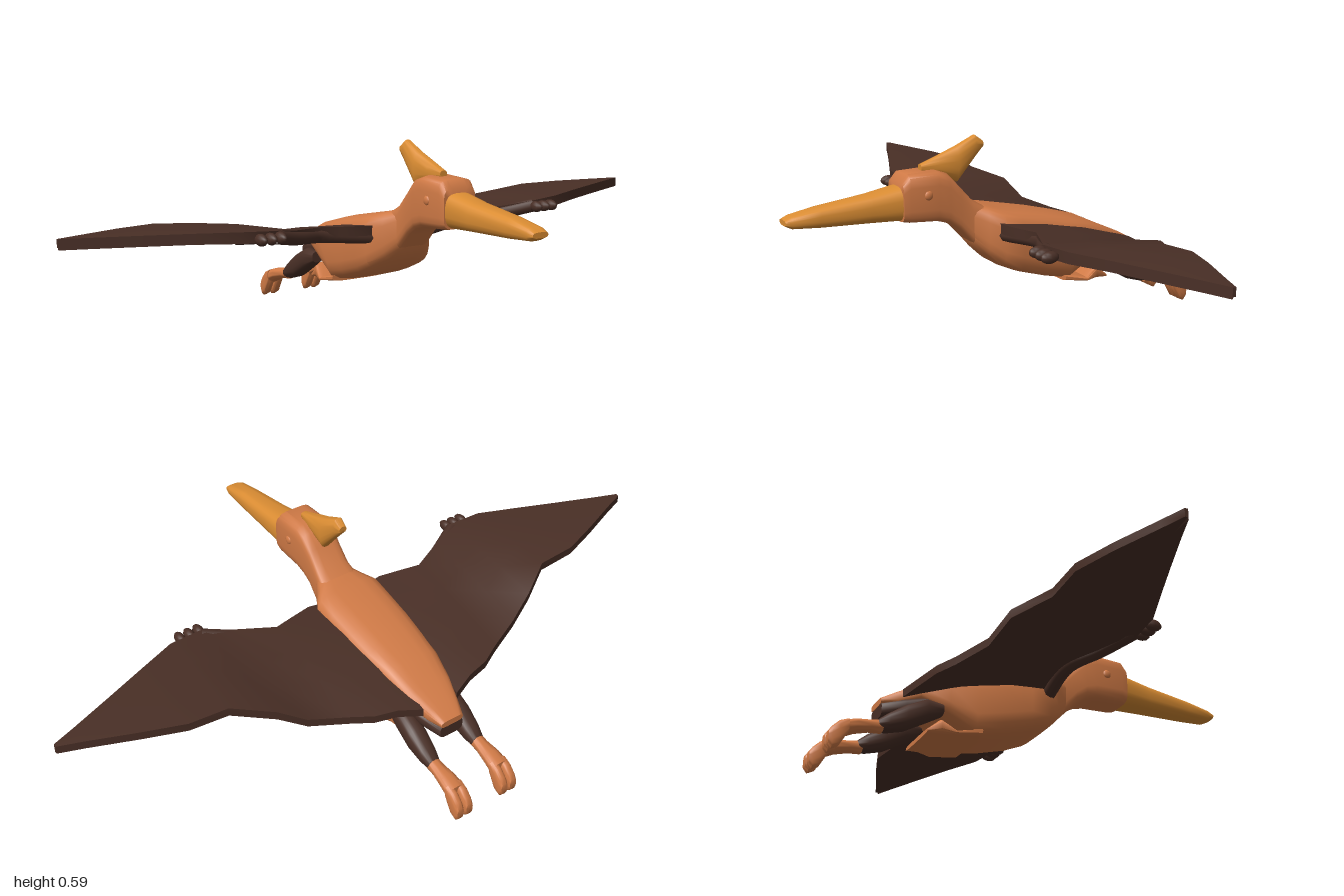
import * as THREE from 'three';
import { toCreasedNormals } from 'three/addons/utils/BufferGeometryUtils.js';

const mat = (name, color) => {
  const m = new THREE.MeshStandardMaterial({ color });
  m.name = name;
  return m;
};

// Closed skin over a row of rings (counter-clockwise seen from the far end)
function skin(rings, crease = 0.8) {
  const n = rings[0].length, pos = [], idx = [];
  rings.forEach(r => r.forEach(p => pos.push(...p)));
  for (let i = 0; i < rings.length - 1; i++) {
    for (let j = 0; j < n; j++) {
      const a = i * n + j, b = i * n + (j + 1) % n;
      idx.push(a, b, b + n, a, b + n, a + n);
    }
  }
  const last = (rings.length - 1) * n;
  [[0, true], [last, false]].forEach(([start, flip]) => {
    const ring = rings[start / n], c = pos.length / 3;
    pos.push(...[0, 1, 2].map(k => ring.reduce((s, p) => s + p[k], 0) / n));
    for (let j = 0; j < n; j++) {
      const a = start + j, b = start + (j + 1) % n;
      if (flip) idx.push(c, b, a); else idx.push(c, a, b);
    }
  });
  const g = new THREE.BufferGeometry();
  g.setAttribute('position', new THREE.Float32BufferAttribute(pos, 3));
  g.setIndex(idx);
  return toCreasedNormals(g, crease);
}

// Loft along z: sections [z, bottom, top, halfWidth]; box is the squareness
function loft(sections, box = 4, x = 0) {
  const bend = v => Math.sign(v) * Math.pow(Math.abs(v), 2 / box);
  const rings = [...sections].sort((a, b) => a[0] - b[0]).map(([z, y0, y1, w]) =>
    Array.from({ length: 20 }, (_, k) => {
      const t = (k + 0.5) / 20 * Math.PI * 2;
      return [x + w * bend(Math.cos(t)), (y0 + y1) / 2 + (y1 - y0) / 2 * bend(Math.sin(t)), z];
    }));
  return skin(rings);
}

// Wing: [x, front z, front top y, back z, back top y, thickness]
const WING = [
  [0.06, 0.02, 0.335, -0.43, 0.235, 0.03],
  [0.13, 0.03, 0.34, -0.405, 0.25, 0.03],
  [0.20, 0.015, 0.342, -0.39, 0.255, 0.03],
  [0.26, 0.0, 0.345, -0.36, 0.262, 0.03],
  [0.37, 0.05, 0.355, -0.315, 0.278, 0.03],
  [0.45, 0.09, 0.368, -0.29, 0.33, 0.032],
  [0.56, 0.08, 0.374, -0.225, 0.355, 0.032],
  [0.68, 0.03, 0.375, -0.225, 0.365, 0.03],
  [0.80, -0.02, 0.375, -0.185, 0.37, 0.03],
  [0.93, -0.073, 0.375, -0.135, 0.373, 0.03],
  [1.0, -0.1, 0.375, -0.11, 0.374, 0.03],
];

function wingGeometry(side) {
  const rings = WING.map(([x, zf, yf, zb, yb, t]) => {
    const at = (s, drop) => [side * x, yf + (yb - yf) * s + 0.015 * Math.sin(s * Math.PI) * (1 - x) - drop, zf + (zb - zf) * s];
    const ring = [at(1, 0), at(0.66, 0), at(0.33, 0), at(0, 0),
      at(0, t), at(0.33, t * 0.8), at(0.66, t * 0.8), at(1, t * 0.8)];
    return side > 0 ? ring : ring.reverse();
  });
  return skin(rings);
}

export function createModel() {
  const model = new THREE.Group();
  const skinOrange = mat('orange skin', 0xd07a46);
  const amber = mat('amber horn', 0xdb8d33);
  const brown = mat('dark brown membrane', 0x492f26);
  const add = (name, geometry, material, parent = model) => {
    const m = new THREE.Mesh(geometry, material);
    m.name = name;
    parent.add(m);
    return m;
  };

  // Trunk, neck and head
  add('body', loft([
    [0.09, 0.275, 0.39, 0.06], [0.05, 0.232, 0.382, 0.085], [0.01, 0.197, 0.372, 0.116],
    [-0.05, 0.17, 0.36, 0.116], [-0.14, 0.143, 0.342, 0.114], [-0.22, 0.126, 0.322, 0.108],
    [-0.30, 0.172, 0.30, 0.095], [-0.38, 0.21, 0.262, 0.075], [-0.44, 0.19, 0.235, 0.055], [-0.485, 0.19, 0.21, 0.038],
  ]), skinOrange);
  add('neckAndHead', loft([
    [0.31, 0.36, 0.475, 0.055], [0.29, 0.356, 0.497, 0.06], [0.20, 0.35, 0.5, 0.06],
    [0.165, 0.34, 0.488, 0.06], [0.13, 0.318, 0.45, 0.058], [0.09, 0.275, 0.405, 0.06], [0.04, 0.235, 0.375, 0.07],
  ], 5), skinOrange);
  add('bellyFlap', loft([
    [-0.2, 0.126, 0.15, 0.1], [-0.28, 0.115, 0.128, 0.1], [-0.32, 0.112, 0.162, 0.09], [-0.36, 0.112, 0.125, 0.08],
  ]), skinOrange);
  add('tailUnderside', loft([
    [-0.34, 0.19, 0.23, 0.08], [-0.42, 0.165, 0.212, 0.065], [-0.483, 0.152, 0.195, 0.04],
  ]), brown);

  // Beak and backswept crest
  add('beak', loft([
    [0.29, 0.36, 0.465, 0.052], [0.40, 0.365, 0.445, 0.045], [0.55, 0.37, 0.427, 0.036],
    [0.63, 0.376, 0.412, 0.031], [0.65, 0.386, 0.402, 0.026],
  ], 3), amber);
  add('crest', loft([
    [0.235, 0.495, 0.515, 0.012], [0.18, 0.475, 0.535, 0.02], [0.12, 0.452, 0.558, 0.024],
    [0.06, 0.521, 0.586, 0.018], [0.035, 0.548, 0.568, 0.012],
  ], 2.5), amber);

  for (const side of [1, -1]) {
    const label = side > 0 ? 'left' : 'right';

    // Eye lids
    const eye = add(label + 'Eye', new THREE.SphereGeometry(0.014, 12, 8), skinOrange);
    eye.scale.x = 0.5;
    eye.position.set(side * 0.058, 0.435, 0.235);

    // Wing membrane, arm bone and claws
    const wing = new THREE.Group();
    wing.name = label + 'Wing';
    model.add(wing);
    add('membrane', wingGeometry(side), brown, wing);
    const arm = new THREE.CatmullRomCurve3([
      [0.09, 0.3, 0.01], [0.26, 0.318, -0.01], [0.36, 0.33, 0.035], [0.46, 0.352, 0.085],
    ].map(([x, y, z]) => new THREE.Vector3(side * x, y, z)));
    add('armBone', new THREE.TubeGeometry(arm, 16, 0.021, 8), brown, wing);
    for (const x of [0.455, 0.485, 0.515]) {
      const claw = add('claw', new THREE.SphereGeometry(0.017, 10, 8), brown, wing);
      claw.scale.set(0.85, 1, 1.6);
      claw.position.set(side * x, 0.352, 0.108);
    }

    // Leg trailing behind the body
    const leg = new THREE.Group();
    leg.name = label + 'Leg';
    model.add(leg);
    add('thigh', loft([
      [-0.32, 0.165, 0.2, 0.02], [-0.37, 0.135, 0.205, 0.03], [-0.43, 0.1, 0.175, 0.032],
      [-0.48, 0.085, 0.14, 0.027], [-0.51, 0.083, 0.115, 0.02],
    ], 2.5, side * 0.08), brown, leg);
    add('foot', loft([
      [-0.495, 0.08, 0.118, 0.02], [-0.53, 0.077, 0.11, 0.021], [-0.57, 0.066, 0.104, 0.027],
      [-0.61, 0.046, 0.092, 0.03],
    ], 2.5, side * 0.08), skinOrange, leg);
    for (const dx of [-0.016, 0.016]) {
      add('toe', loft([
        [-0.595, 0.055, 0.095, 0.014], [-0.62, 0.01, 0.085, 0.015], [-0.64, 0, 0.065, 0.014], [-0.65, 0.012, 0.05, 0.011],
      ], 3, side * 0.08 + dx), skinOrange, leg);
    }
  }
  return model;
}
